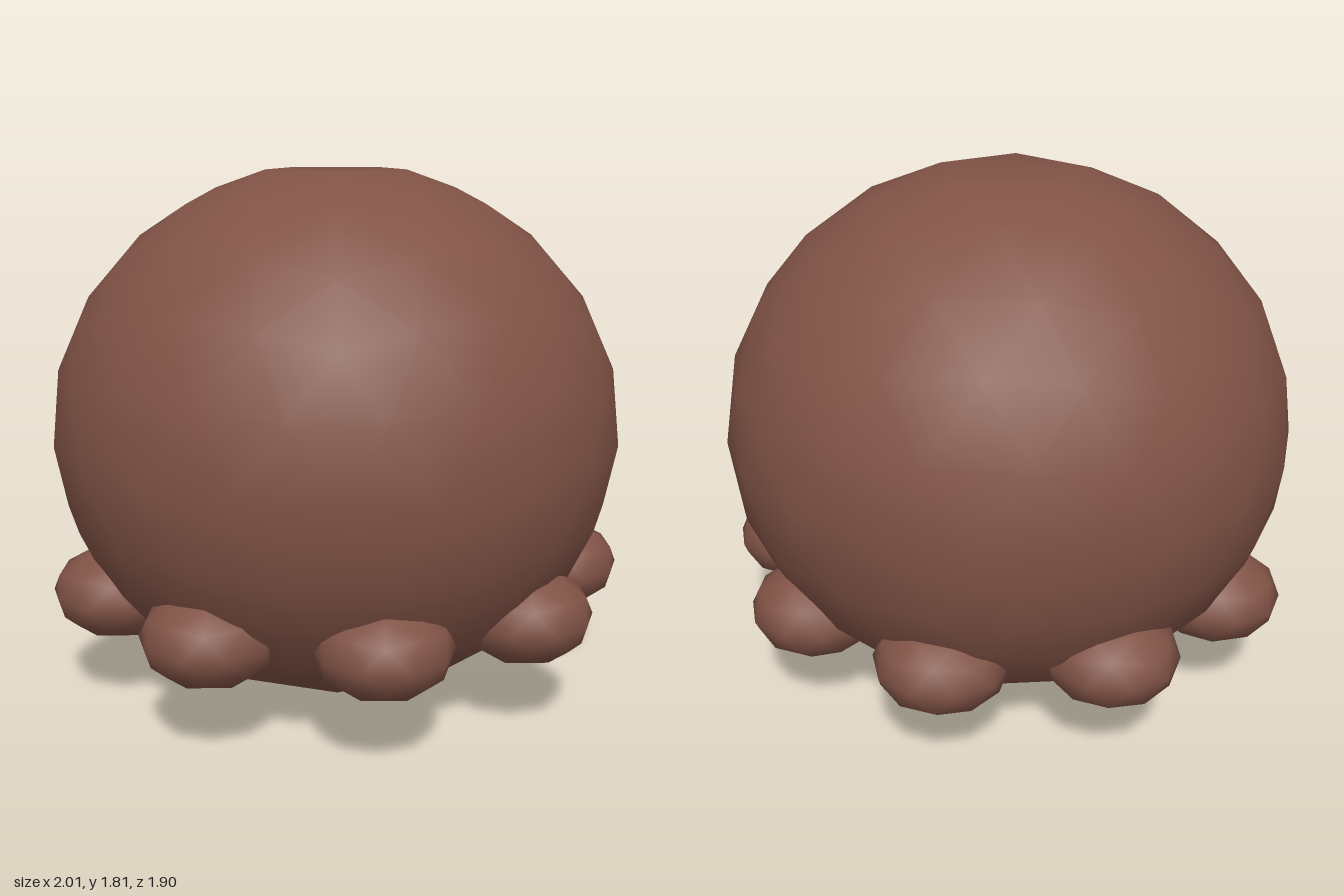
import * as THREE from 'three';

export function createModel() {
  const group = new THREE.Group();
  const brown = new THREE.MeshStandardMaterial({ color: 0x815346 });

  // Low-poly ball with smooth normals, standing on one of its vertices.
  // Vertices facing a direction in dents are pulled in to leave a flat spot.
  function ball(name, detail, size, dents = []) {
    const geo = new THREE.IcosahedronGeometry(1, detail);
    geo.rotateX(-Math.atan((1 + Math.sqrt(5)) / 2));
    const pos = geo.attributes.position;
    const v = new THREE.Vector3();
    for (let i = 0; i < pos.count; i++) {
      v.fromBufferAttribute(pos, i);
      if (dents.some((d) => d.dot(v) > 0.99)) v.multiplyScalar(0.96);
      pos.setXYZ(i, v.x, v.y, v.z);
    }
    geo.scale(...size);
    const mesh = new THREE.Mesh(geo, brown);
    mesh.name = name;
    return mesh;
  }

  // Round body, with flat spots on the top, the front and both sides of the back
  const flatSpots = [[0, 1, 0], [0, 0, 1], [0.31, 0, -0.95], [-0.31, 0, -0.95]]
    .map((d) => new THREE.Vector3(...d).normalize());
  const body = ball('body', 3, [0.985, 0.922, 0.962], flatSpots);
  body.position.set(-0.013, 0.922, 0.003);
  group.add(body);

  // Ring of nine coarse, flattened bumps around the lower body
  const bumps = new THREE.Group();
  bumps.name = 'bumpRing';
  const count = 9;
  for (let i = 0; i < count; i++) {
    const a = (i / count) * Math.PI * 2;
    const bump = ball('bump' + (i + 1), 1, [0.225, 0.16, 0.207]);
    bump.position.set(-0.012 + Math.cos(a) * 0.797, 0.408, 0.003 + Math.sin(a) * 0.757);
    bumps.add(bump);
  }
  group.add(bumps);
  return group;
}
